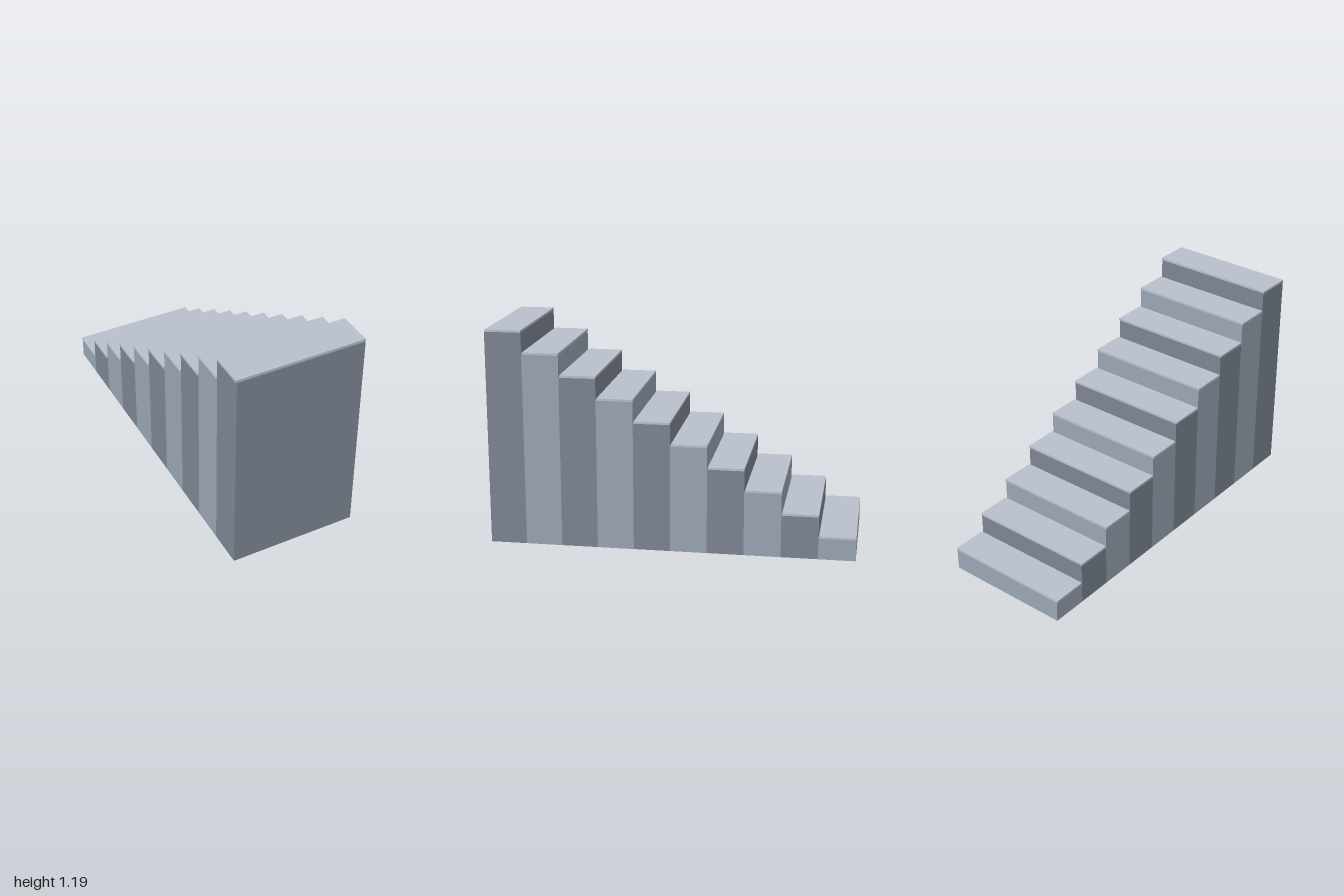
import * as THREE from 'three';

const STEPS = 10;
const RISE = 0.118;
const DEPTH = 0.2;
const WIDTH = 0.71;
const TREAD_WIDTH = 0.718;
const TREAD_DEPTH = 0.195;
const TREAD_THICKNESS = 0.012;

function box(name, w, h, d, material, y, z) {
  const mesh = new THREE.Mesh(new THREE.BoxGeometry(w, h, d), material);
  mesh.name = name;
  mesh.position.set(0, y + h / 2, z);
  return mesh;
}

export function createModel() {
  const stairs = new THREE.Group();
  stairs.name = 'staircase';

  const lightBlock = new THREE.MeshStandardMaterial({ color: 0x9ba5b5 });
  const darkBlock = new THREE.MeshStandardMaterial({ color: 0x7d8693 });
  const treadStone = new THREE.MeshStandardMaterial({ color: 0xb8c0cb });

  // Solid steps climb from the back to the front, alternating in shade
  for (let i = 0; i < STEPS; i++) {
    const step = new THREE.Group();
    step.name = `step${i + 1}`;
    const back = -1 + i * DEPTH;
    const height = (i + 1) * RISE;

    // Full-height block down to the floor
    step.add(box('stepBlock', WIDTH, height, DEPTH,
      i % 2 ? darkBlock : lightBlock, 0, back + DEPTH / 2));

    // Thin tread slab, a little wider than the block
    step.add(box('tread', TREAD_WIDTH, TREAD_THICKNESS, TREAD_DEPTH,
      treadStone, height, back + TREAD_DEPTH / 2));

    stairs.add(step);
  }
  return stairs;
}
